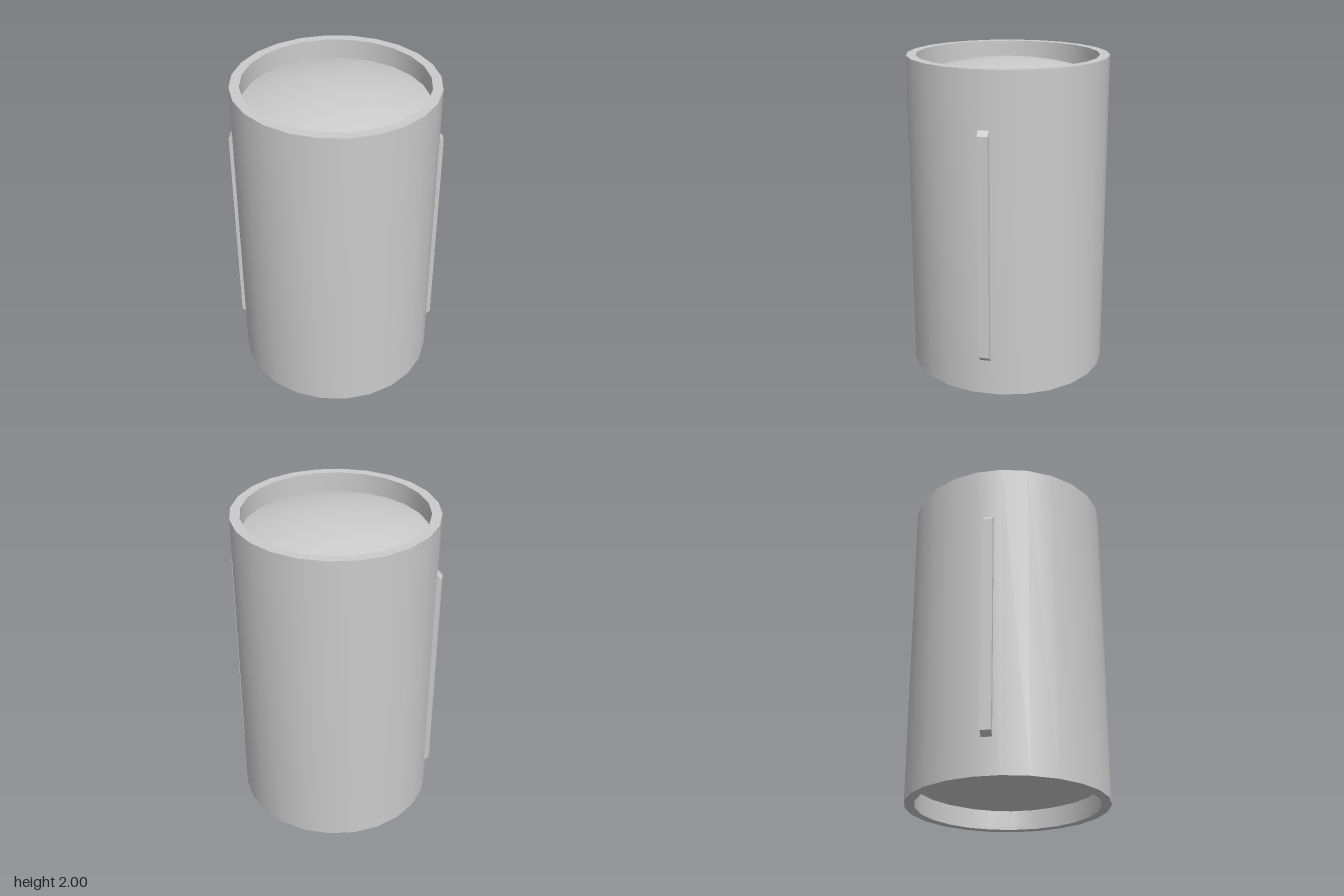
import * as THREE from 'three';
import { toCreasedNormals } from 'three/addons/utils/BufferGeometryUtils.js';

const SIDES = 24;
const HEIGHT = 2;
const OUTER = 0.622;
const INNER = 0.562;
const BORE = 0.568; // bore just behind the thin lip of each rim

const material = new THREE.MeshStandardMaterial({ color: 0xcccccc });

function addMesh(parent, name, geometry) {
  const mesh = new THREE.Mesh(geometry, material);
  mesh.name = name;
  parent.add(mesh);
  return mesh;
}

// Hollow barrel: closed profile up the outside and back down the bore
function barrelGeometry() {
  const lip = 0.02;
  const profile = [
    [INNER, 0], [OUTER, 0], [OUTER, HEIGHT], [INNER, HEIGHT],
    [INNER, HEIGHT - lip], [BORE, HEIGHT - lip], [BORE, lip], [INNER, lip], [INNER, 0],
  ].map(([x, y]) => new THREE.Vector2(x, y));
  return toCreasedNormals(new THREE.LatheGeometry(profile, SIDES), 0.5);
}

// Shallow spherical cap, rising from its edge to the axis
function domeGeometry(rise) {
  const radius = (BORE * BORE + rise * rise) / (2 * rise);
  const edge = Math.asin(BORE / radius);
  const points = [];
  for (let i = 0; i <= 8; i++) {
    const a = edge * (1 - i / 8);
    points.push(new THREE.Vector2(radius * Math.sin(a), radius * (Math.cos(a) - Math.cos(edge))));
  }
  return new THREE.LatheGeometry(points, SIDES);
}

// Raised strip with chamfered ends; x is the distance from the barrel axis
function ribGeometry() {
  const width = 0.064;
  const shape = new THREE.Shape([
    [0.59, 0.22], [0.613, 0.22], [0.647, 0.254],
    [0.647, 1.626], [0.613, 1.66], [0.59, 1.66],
  ].map(([x, y]) => new THREE.Vector2(x, y)));
  return new THREE.ExtrudeGeometry(shape, { depth: width, bevelEnabled: false })
    .translate(0, 0, -width / 2);
}

export function createModel() {
  const model = new THREE.Group();
  model.name = 'cylinderHousing';

  addMesh(model, 'barrel', barrelGeometry());

  // Domed end caps, recessed into both ends
  const recess = 0.13;
  const dome = domeGeometry(0.095);
  addMesh(model, 'topDome', dome).position.y = HEIGHT - recess;
  const bottomDome = addMesh(model, 'bottomDome', dome);
  bottomDome.position.y = recess;
  bottomDome.rotation.x = Math.PI;

  // Two opposite ribs, each on the middle of a facet
  const rib = ribGeometry();
  ['leftRib', 'rightRib'].forEach((name, i) => {
    addMesh(model, name, rib).rotation.y = Math.PI / 8 + i * Math.PI;
  });

  return model;
}
